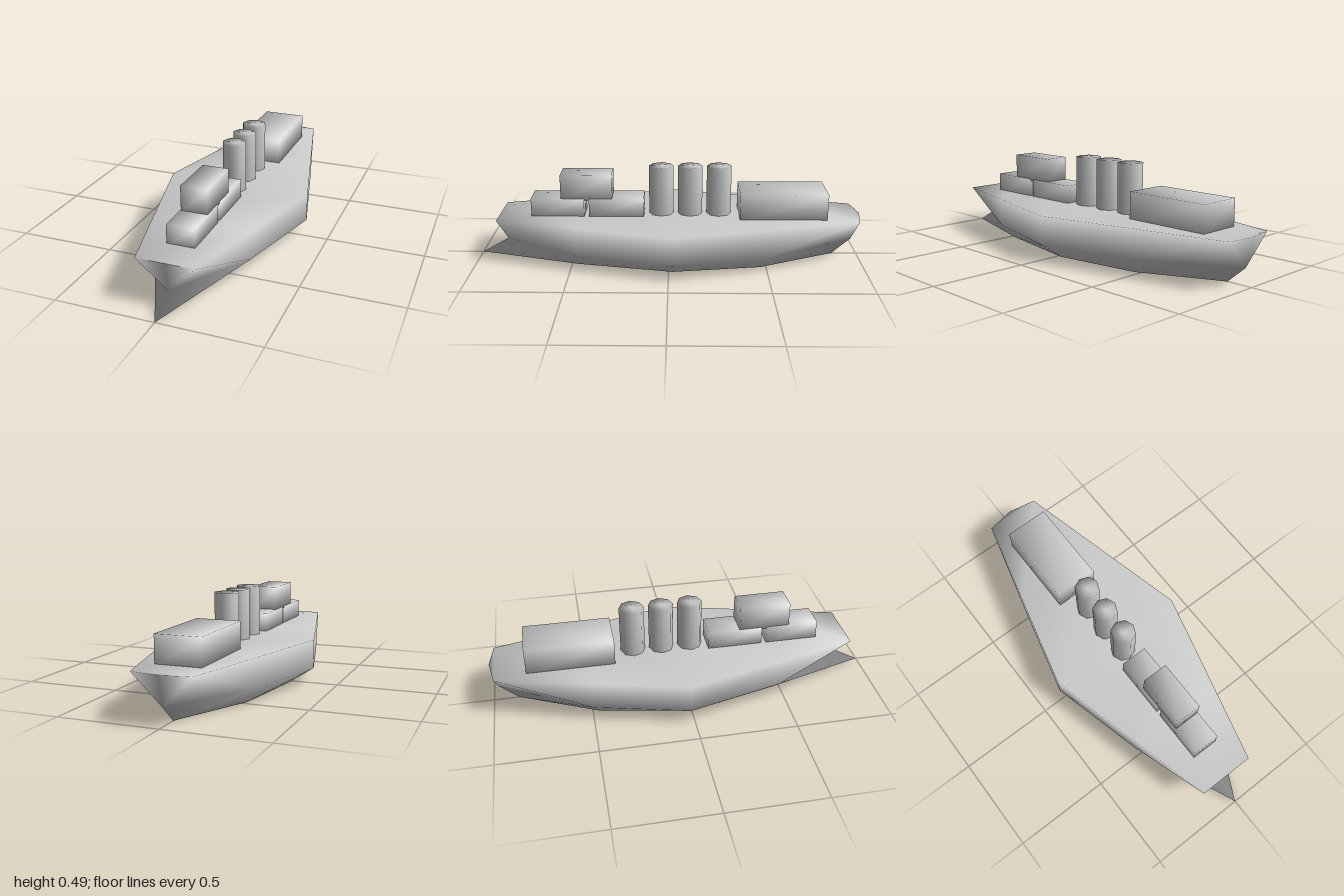
import * as THREE from 'three';
import { mergeVertices } from 'three/addons/utils/BufferGeometryUtils.js';

const material = new THREE.MeshStandardMaterial({ color: 0xcccccc, side: THREE.DoubleSide });

// Welds shared corners so that shading runs smoothly over every edge
function smooth(geometry) {
  geometry.deleteAttribute('normal');
  geometry.deleteAttribute('uv');
  const welded = mergeVertices(geometry);
  welded.computeVertexNormals();
  return welded;
}

function part(name, geometry, x = 0, y = 0, z = 0) {
  const mesh = new THREE.Mesh(smooth(geometry), material);
  mesh.name = name;
  mesh.position.set(x, y, z);
  return mesh;
}

// Box standing between two heights and two z positions
function block(name, width, y0, y1, z0, z1) {
  return part(name, new THREE.BoxGeometry(width, y1 - y0, z1 - z0), 0, (y0 + y1) / 2, (z0 + z1) / 2);
}

// Hull stations from bow to stern: deck edge, knuckle and keel edge on the +x side
const stations = [
  [[0, 0.23, 0.885], [0, 0.08, 0.86], [0, 0, 1]],
  [[0.145, 0.23, 0.885], [0, 0.08, 0.86], [0, 0, 1]],
  [[0.253, 0.23, 0.47], [0.253, 0.085, 0.47], [0.16, 0, 0.47]],
  [[0.38, 0.23, -0.02], [0.38, 0.083, -0.02], [0.255, 0, -0.02]],
  [[0.262, 0.23, -0.5], [0.262, 0.083, -0.5], [0.19, 0, -0.47]],
  [[0.145, 0.23, -0.975], [0, 0.083, -0.965], [0, 0, -0.87]],
  [[0, 0.23, -1], [0, 0.083, -0.965], [0, 0, -0.87]],
];

function hullGeometry() {
  const positions = [];
  const flip = ([x, y, z]) => [-x, y, z];
  const same = (p, q) => p.every((v, i) => v === q[i]);
  const triangle = (a, b, c) => {
    if (!same(a, b) && !same(b, c) && !same(a, c)) positions.push(...a, ...b, ...c);
  };
  const mirrored = (a, b, c) => {
    triangle(a, b, c);
    triangle(flip(a), flip(c), flip(b));
  };
  for (let i = 0; i < stations.length - 1; i++) {
    const s = stations[i], t = stations[i + 1];
    // Sides: upper and lower strake, folded along opposite diagonals
    for (let k = 0; k < 2; k++) {
      const a = s[k], b = s[k + 1], c = t[k], d = t[k + 1];
      if ((i < 3) === (k === 0)) {
        mirrored(a, b, d);
        mirrored(a, d, c);
      } else {
        mirrored(a, b, c);
        mirrored(b, d, c);
      }
    }
    // Deck
    const p = s[0], q = t[0];
    triangle(flip(p), p, q);
    triangle(flip(p), q, flip(q));
  }
  const geometry = new THREE.BufferGeometry();
  geometry.setAttribute('position', new THREE.Float32BufferAttribute(positions, 3));
  return geometry;
}

export function createModel() {
  const ship = new THREE.Group();
  ship.name = 'ship';

  // Hull with ram bow, open underneath
  ship.add(part('hull', hullGeometry()));

  // Deck houses
  ship.add(block('foreDeckHouse', 0.14, 0.215, 0.325, 0.44, 0.715));
  ship.add(block('midDeckHouse', 0.14, 0.215, 0.325, 0.13, 0.415));
  ship.add(block('bridge', 0.134, 0.315, 0.45, 0.295, 0.56));
  ship.add(block('aftDeckHouse', 0.228, 0.215, 0.365, -0.815, -0.365));

  // Funnels
  const funnels = new THREE.Group();
  funnels.name = 'funnels';
  for (const z of [0.04, -0.11, -0.26]) {
    funnels.add(part('funnel', new THREE.CylinderGeometry(0.064, 0.064, 0.27, 8), 0, 0.35, z));
  }
  ship.add(funnels);

  return ship;
}
